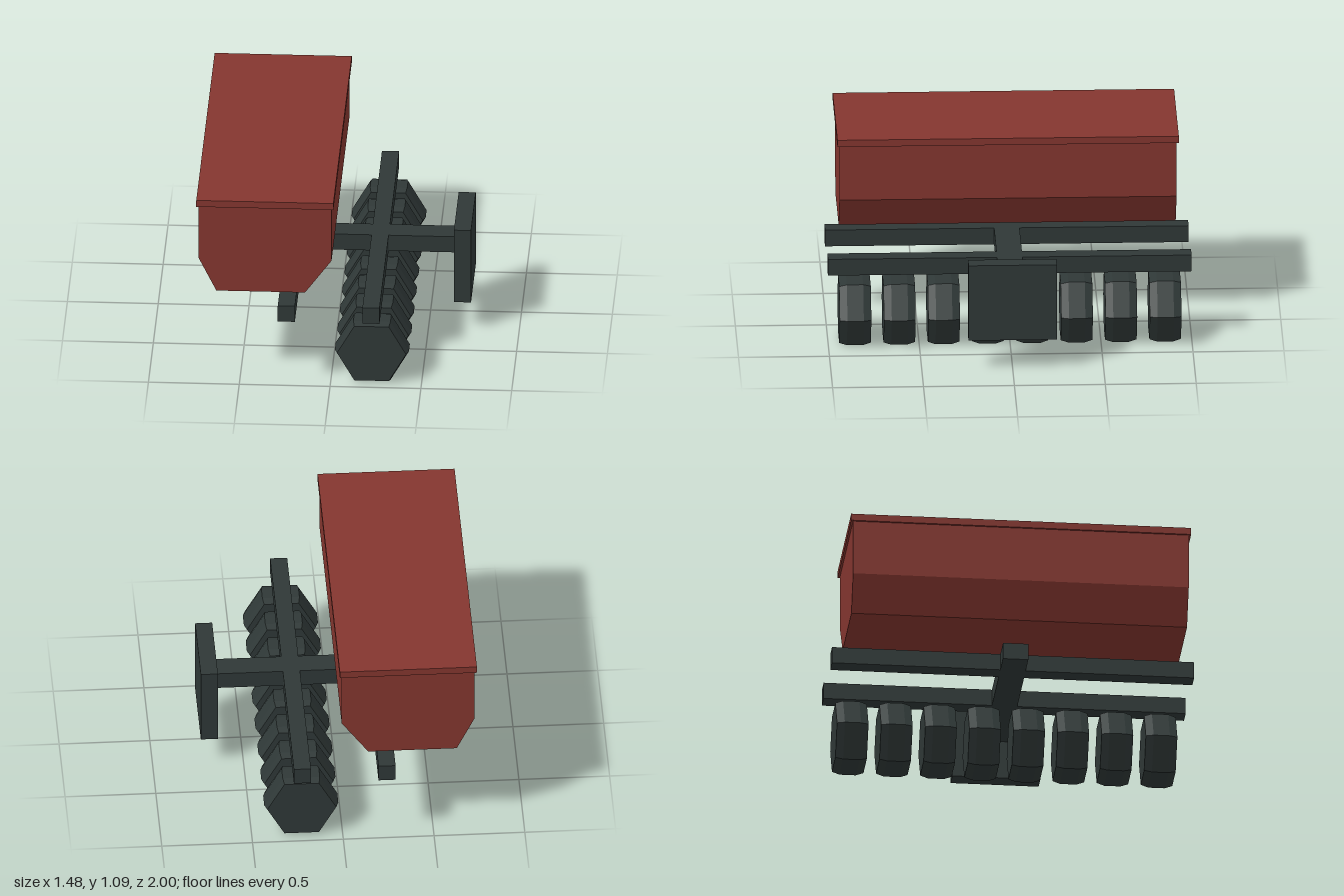
import * as THREE from 'three';

export function createModel() {
  const model = new THREE.Group();
  model.name = 'seeder';

  const red = new THREE.MeshStandardMaterial({ color: 0x84362f });
  red.name = 'hopper red';
  const dark = new THREE.MeshStandardMaterial({ color: 0x2f3837 });
  dark.name = 'frame dark grey';

  const add = (name, geometry, material, parent = model) => {
    const mesh = new THREE.Mesh(geometry, material);
    mesh.name = name;
    parent.add(mesh);
    return mesh;
  };

  // Box given by its extents in x and y, and its half length in z
  const box = (name, x0, x1, y0, y1, halfZ, material) => {
    const mesh = add(name, new THREE.BoxGeometry(x1 - x0, y1 - y0, halfZ * 2), material);
    mesh.position.set((x0 + x1) / 2, (y0 + y1) / 2, 0);
    return mesh;
  };

  // Hopper: tapered trough section run along z, closed by a lid
  const section = new THREE.Shape([
    [-0.63, 0.535], [-0.142, 0.535], [0.004, 0.732],
    [0.004, 1.048], [-0.728, 1.048], [-0.728, 0.732],
  ].map(([x, y]) => new THREE.Vector2(x, y)));
  const trough = new THREE.ExtrudeGeometry(section, { depth: 1.854, bevelEnabled: false });
  trough.translate(0, 0, -0.927);
  add('hopper', trough, red);
  box('hopperLid', -0.74, 0.015, 1.048, 1.087, 0.939, red);

  // Frame: two cross beams, a drawbar and the hitch plate
  box('rearCrossBeam', -0.288, -0.194, 0.39, 0.485, 1, dark);
  box('frontCrossBeam', 0.178, 0.272, 0.39, 0.485, 1, dark);
  box('drawbar', -0.435, 0.645, 0.39, 0.485, 0.07, dark);
  box('hitchPlate', 0.641, 0.735, 0.17, 0.608, 0.243, dark);

  // Wheels: six-sided rollers with chamfered rims
  const rim = [[0, -0.087], [0.19, -0.087], [0.204, -0.045], [0.204, 0.045], [0.19, 0.087], [0, 0.087]];
  const wheel = new THREE.LatheGeometry(
    rim.map(([r, y]) => new THREE.Vector2(r, y)), 6, Math.PI / 6
  ).toNonIndexed();
  wheel.rotateX(Math.PI / 2);
  wheel.computeVertexNormals();

  const wheels = new THREE.Group();
  wheels.name = 'wheels';
  model.add(wheels);
  for (let i = 0; i < 8; i++) {
    add(`wheel${i + 1}`, wheel, dark, wheels).position.set(0.225, 0.178, (i - 3.5) * 0.2437);
  }

  return model;
}
